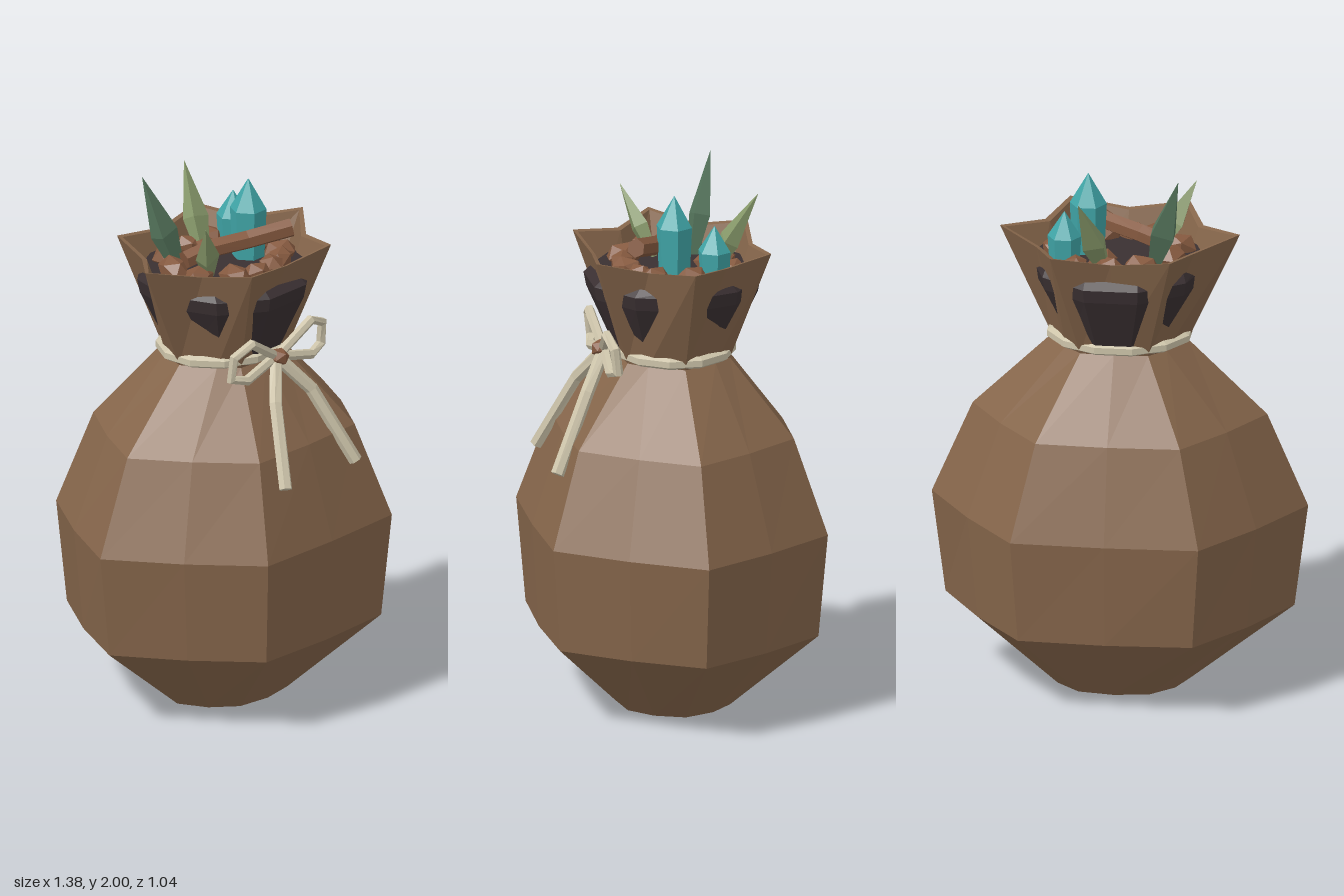
import * as THREE from 'three';

const V = (x, y, z) => new THREE.Vector3(x, y, z);
const paint = (name, color) => {
  const m = new THREE.MeshStandardMaterial({ color, flatShading: true });
  m.name = name;
  return m;
};

// Faceted skin over a list of rings; rings run counter-clockwise about the travel direction
function loft(rings, { closed = false, caps = true } = {}) {
  const pos = [];
  const tri = (...p) => p.forEach(v => pos.push(v.x, v.y, v.z));
  const n = rings[0].length, count = rings.length;
  for (let i = 0; i < (closed ? count : count - 1); i++) {
    const r = rings[i], s = rings[(i + 1) % count];
    for (let j = 0; j < n; j++) {
      const k = (j + 1) % n;
      tri(r[j], r[k], s[k]);
      tri(r[j], s[k], s[j]);
    }
  }
  if (caps && !closed) {
    const a = rings[0], b = rings[count - 1];
    for (let j = 1; j < n - 1; j++) {
      tri(a[0], a[j + 1], a[j]);
      tri(b[0], b[j], b[j + 1]);
    }
  }
  const g = new THREE.BufferGeometry();
  g.setAttribute('position', new THREE.Float32BufferAttribute(pos, 3));
  g.computeVertexNormals();
  return g;
}

// Mitred tube along a polyline
function sweep(points, radius, sides, ref, closed = false) {
  const n = points.length;
  const rings = points.map((p, i) => {
    const next = closed ? points[(i + 1) % n] : points[Math.min(i + 1, n - 1)];
    const prev = closed ? points[(i + n - 1) % n] : points[Math.max(i - 1, 0)];
    const t = next.clone().sub(prev).normalize();
    const u = ref.clone().cross(t).normalize();
    const v = t.clone().cross(u);
    return Array.from({ length: sides }, (_, j) => {
      const a = (j + 0.5) / sides * Math.PI * 2;
      return p.clone().addScaledVector(u, radius * Math.cos(a)).addScaledVector(v, radius * Math.sin(a));
    });
  });
  return loft(rings, { closed });
}

// Twelve-point sack section: front middle, corner, diagonal middle, side point, mirrored around
function sackRing(y, front, [cx, cz], [mx, mz], side, dip = 0) {
  const half = [[0, front, 1], [cx, cz, 0], [mx, mz, 1], [side, 0, 0], [mx, -mz, 1], [cx, -cz, 0], [0, -front, 1]];
  const other = half.slice(1, 6).reverse().map(([x, z, d]) => [-x, z, d]);
  return [...half, ...other].map(([x, z, d]) => V(x, y - d * dip, z));
}

const ovalRing = (y, rx, rz, n) => Array.from({ length: n }, (_, i) => {
  const a = (i + 0.5) / n * Math.PI * 2;
  return V(rx * Math.sin(a), y, rz * Math.cos(a));
});

export function createModel() {
  const model = new THREE.Group();
  const cloth = paint('sack cloth', 0x86664b);
  const soil = paint('dark soil', 0x3a3032);
  const stone = paint('brown stone', 0x85593f);
  const cord = paint('pale cord', 0xcdc4aa);
  const teal = paint('teal crystal', 0x40a5a7);
  const lightLeaf = paint('light leaf', 0x87996a);
  const darkLeaf = paint('dark leaf', 0x55755c);
  const add = (name, geometry, material, parent = model) => {
    const mesh = new THREE.Mesh(geometry, material);
    mesh.name = name;
    parent.add(mesh);
    return mesh;
  };
  const group = name => {
    const g = new THREE.Group();
    g.name = name;
    model.add(g);
    return g;
  };

  // Sack: belly, neck, flared collar, rim and inner wall
  add('sack', loft([
    sackRing(0, 0.21, [0.13, 0.19], [0.215, 0.11], 0.26),
    sackRing(0.3, 0.495, [0.32, 0.48], [0.495, 0.25], 0.64),
    sackRing(0.69, 0.52, [0.345, 0.51], [0.53, 0.265], 0.69),
    sackRing(1.04, 0.41, [0.265, 0.4], [0.415, 0.205], 0.54),
    sackRing(1.32, 0.2, [0.125, 0.19], [0.185, 0.125], 0.25),
    sackRing(1.735, 0.3, [0.22, 0.325], [0.29, 0.145], 0.44, 0.025),
    sackRing(1.73, 0.285, [0.208, 0.308], [0.272, 0.136], 0.42, 0.025),
    sackRing(1.5, 0.22, [0.155, 0.23], [0.21, 0.12], 0.3),
  ]), cloth);

  // Soil filling, bulging through the sides of the collar
  add('soil', loft([
    ovalRing(1.34, 0.2, 0.215, 10),
    ovalRing(1.56, 0.315, 0.315, 10),
    ovalRing(1.61, 0.325, 0.325, 10),
    ovalRing(1.645, 0.31, 0.285, 10),
  ]), soil);

  // Stones scattered on the soil: x, z, size
  const stones = group('stones');
  [[-0.1, -0.18, 0.065], [-0.2, -0.07, 0.065], [0.02, -0.19, 0.055], [0.05, -0.125, 0.055],
    [0.23, -0.03, 0.065], [-0.21, 0.06, 0.065], [-0.115, 0.155, 0.065], [-0.025, 0.18, 0.055],
    [0.06, 0.175, 0.06], [0.195, 0.1, 0.06], [0.14, 0.15, 0.055], [0.14, -0.19, 0.055],
  ].forEach(([x, z, r], i) => {
    const s = add('stone', new THREE.IcosahedronGeometry(r, 0), stone, stones);
    s.position.set(x, 1.66, z);
    s.rotation.set(0, i * 1.3, 0.15);
    s.scale.set(1.1, 0.8, 0.85);
  });

  // Bent branch
  add('branch', sweep([V(-0.18, 1.7, -0.035), V(-0.08, 1.725, 0), V(0.05, 1.74, 0.07), V(0.18, 1.775, 0.17)],
    0.036, 6, V(0, 1, 0)), stone);

  // Crystals: six-sided columns with pointed tips
  const crystals = group('crystals');
  [[0.118, 0.015, 0.068, 1.83, 1.945], [0.19, -0.12, 0.062, 1.75, 1.845]].forEach(([x, z, r, shoulder, tip]) => {
    const c = add('crystal', loft([
      ovalRing(1.6, r * 0.85, r * 0.85, 6),
      ovalRing(shoulder, r, r, 6),
      ovalRing(tip, 0.001, 0.001, 6),
    ]), teal, crystals);
    c.position.set(x, 0, z);
  });

  // Pointed leaves from base to tip
  const leaves = group('leaves');
  [[V(-0.13, 1.62, -0.1), V(-0.235, 2, -0.19), 0.06, darkLeaf],
    [V(-0.13, 1.64, 0.04), V(-0.265, 1.885, 0.14), 0.052, lightLeaf],
    [V(0.04, 1.62, -0.13), V(0.12, 1.935, -0.295), 0.056, lightLeaf],
  ].forEach(([base, tip, w, material]) => {
    const axis = tip.clone().sub(base), len = axis.length();
    const leaf = add('leaf', loft([
      ovalRing(0, w * 0.4, w * 0.3, 4),
      ovalRing(len * 0.42, w, w * 0.7, 4),
      ovalRing(len, 0.001, 0.001, 4),
    ]), material, leaves);
    leaf.position.copy(base);
    leaf.quaternion.setFromUnitVectors(V(0, 1, 0), axis.normalize());
  });

  // Cord around the neck, with bow loops, tails and knot
  const tie = group('tie');
  add('neckCord', sweep(ovalRing(1.345, 0.25, 0.212, 12), 0.023, 6, V(0, 1, 0), true), cord, tie);
  for (const s of [1, -1]) {
    add('bowLoop', sweep([
      V(0, 1.345, 0.255), V(s * 0.165, 1.445, 0.275), V(s * 0.245, 1.41, 0.26),
      V(s * 0.25, 1.325, 0.25), V(s * 0.18, 1.305, 0.265), V(0, 1.345, 0.25),
    ], 0.019, 6, V(0, 0, 1)), cord, tie);
    add('bowTail', sweep([
      V(0, 1.345, 0.25), V(s * 0.1, 1.21, 0.335), V(s * 0.195, 0.935, 0.465),
    ], 0.025, 6, V(0, 0, 1)), cord, tie);
  }
  const knot = add('knot', new THREE.IcosahedronGeometry(0.042, 0), stone, tie);
  knot.position.set(0, 1.345, 0.262);
  knot.scale.y = 0.85;

  return model;
}
